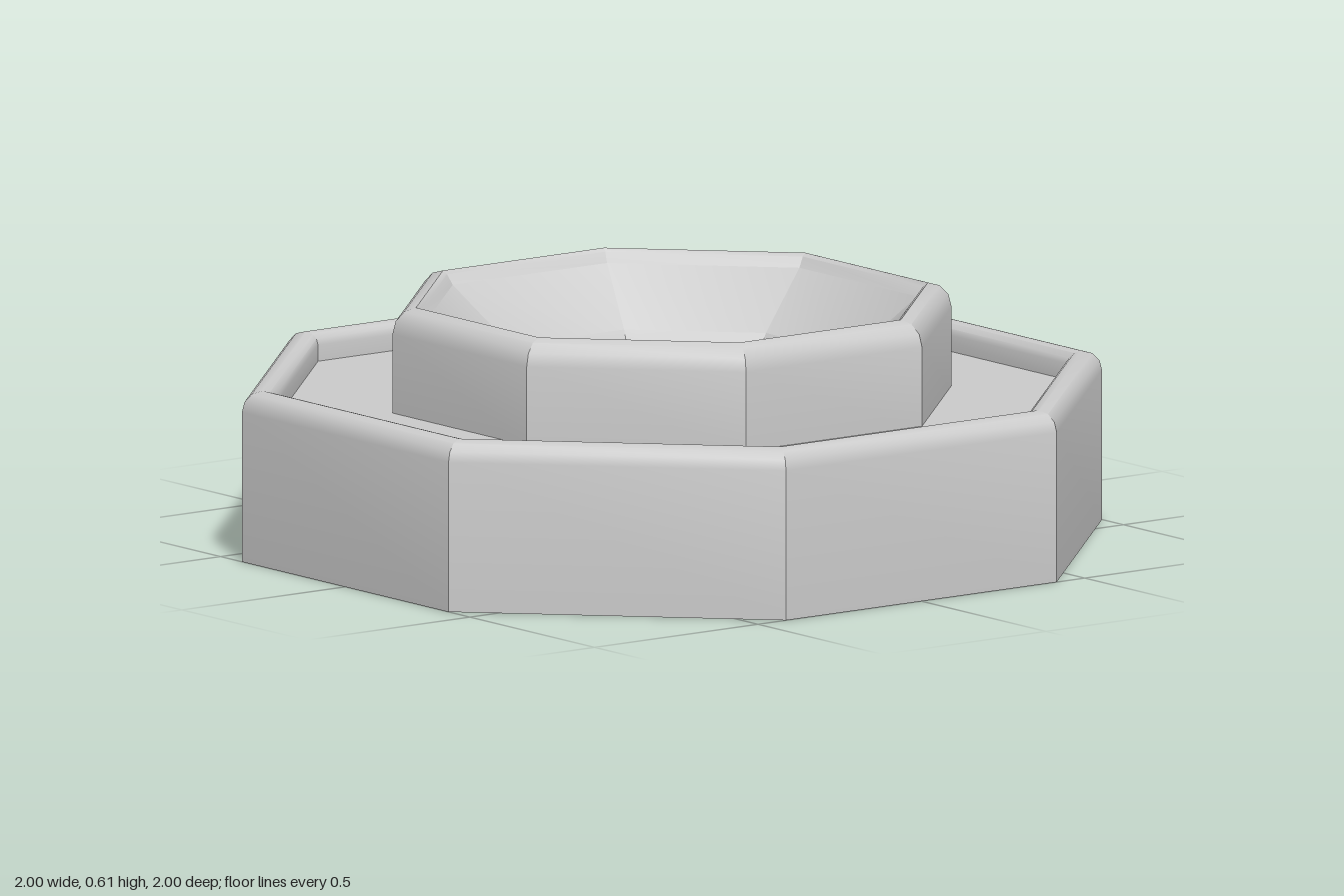
import * as THREE from 'three';
import { toCreasedNormals } from 'three/addons/utils/BufferGeometryUtils.js';

const SIDES = 8;
const CORNER = 1 / Math.cos(Math.PI / SIDES); // flat-to-centre distance -> corner radius

// Quarter-ellipse of profile points around (cx, cy), from angle a to angle b in degrees
function arc(cx, cy, rx, ry, a, b, steps = 3) {
  return Array.from({ length: steps + 1 }, (_, i) => {
    const t = THREE.MathUtils.degToRad(a + ((b - a) * i) / steps);
    return [cx + rx * Math.cos(t), cy + ry * Math.sin(t)];
  });
}

// Eight-sided turned solid from a profile given as [distance to flat side, height]
function octagonal(name, profile) {
  const points = profile.map(([r, y]) => new THREE.Vector2(r * CORNER, y));
  const lathe = new THREE.LatheGeometry(points, SIDES, Math.PI / SIDES);
  lathe.deleteAttribute('normal');
  lathe.deleteAttribute('uv');
  const geometry = toCreasedNormals(lathe, THREE.MathUtils.degToRad(32));
  const material = new THREE.MeshStandardMaterial({ color: 0xcccccc, side: THREE.DoubleSide });
  const mesh = new THREE.Mesh(geometry, material);
  mesh.name = name;
  return mesh;
}

export function createModel() {
  const group = new THREE.Group();
  group.name = 'octagonalBasin';

  // Wide base with a rounded raised rim around a shallow sunken deck
  group.add(octagonal('base', [
    [0, 0], [1, 0],
    ...arc(0.955, 0.37, 0.045, 0.05, 0, 90),
    ...arc(0.95, 0.39, 0.03, 0.03, 90, 180),
    [0.92, 0.35], [0.62, 0.35],
  ]));

  // Raised centre ring whose inside narrows to a deep well
  group.add(octagonal('centreBowl', [
    [0.65, 0.34],
    ...arc(0.595, 0.545, 0.055, 0.063, 0, 90),
    [0.585, 0.6], [0.57, 0.575],
    [0.42, 0.44], [0.36, 0.35], [0.34, 0.28],
    [0.335, 0.1], [0, 0.1],
  ]));

  return group;
}
